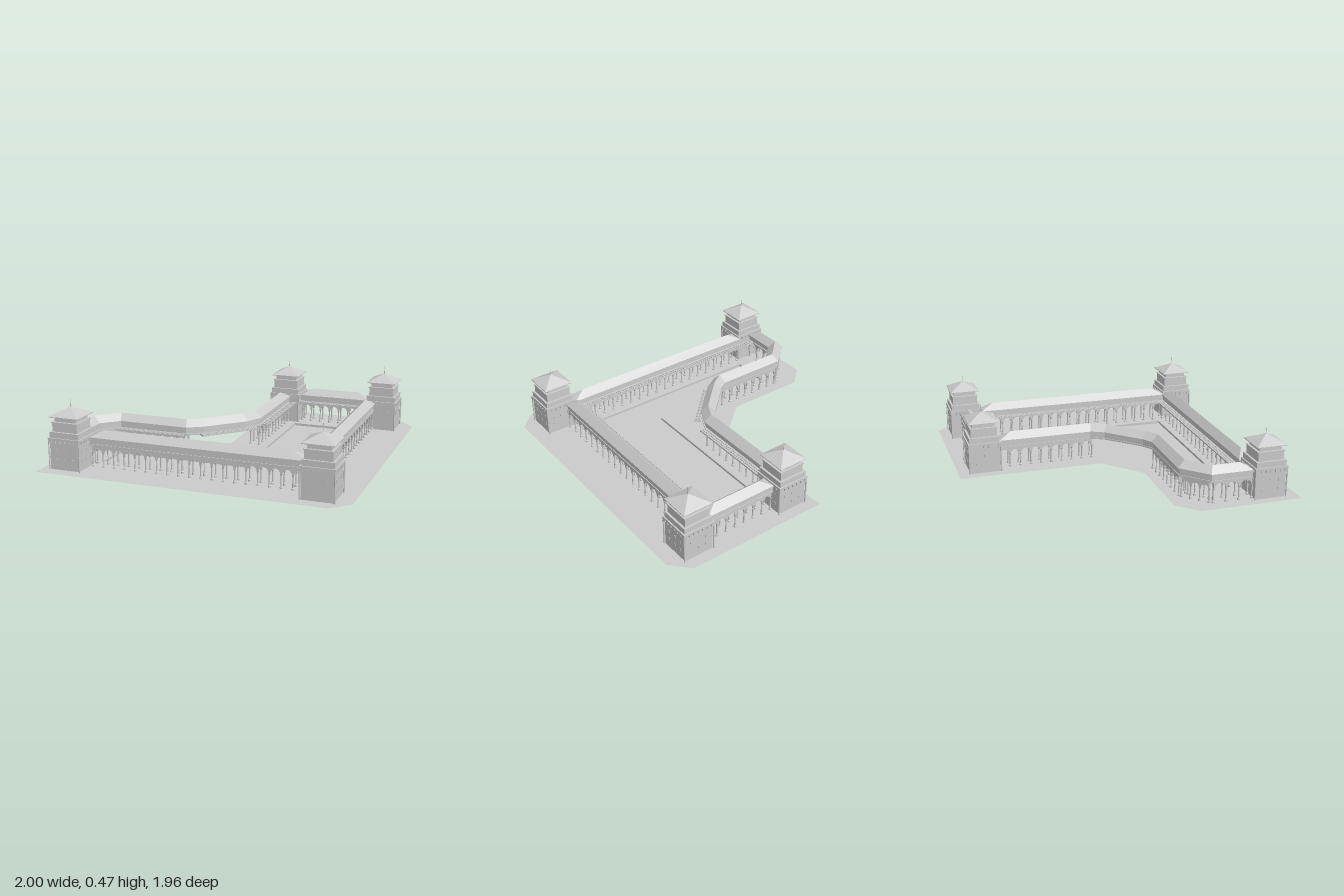
import * as THREE from 'three';
import { mergeGeometries } from 'three/addons/utils/BufferGeometryUtils.js';

const GROUND = 0.03;
const mat = new THREE.MeshStandardMaterial({ color: 0xcccccc, flatShading: true, side: THREE.DoubleSide });

const mesh = (name, geo) => {
  const m = new THREE.Mesh(geo, mat);
  m.name = name;
  return m;
};
const merged = (name, geos) => mesh(name, mergeGeometries(geos.map(g => (g.index ? g.toNonIndexed() : g))));
const box = (w, h, d, x, y, z) => new THREE.BoxGeometry(w, h, d).translate(x, y, z);
const shapeOf = pts => new THREE.Shape(pts.map(([x, z]) => new THREE.Vector2(x, -z)));

// Sweeps a closed [offset, y] profile along a flat path with mitred corners.
// Positive offset points to the courtyard; profileAt(i, last) may vary per point.
function sweep(path, profileAt) {
  const last = path.length - 1;
  const dir = i => {
    const [a, b] = [path[i], path[i + 1]];
    return new THREE.Vector2(b[0] - a[0], b[1] - a[1]).normalize();
  };
  const rings = path.map((p, i) => {
    const d0 = dir(Math.max(i - 1, 0)), d1 = dir(Math.min(i, last - 1));
    const n = new THREE.Vector2(-d0.y - d1.y, d0.x + d1.x).normalize();
    const s = 1 / (n.x * -d1.y + n.y * d1.x);
    return profileAt(i, last).map(([o, y]) => [p[0] + n.x * o * s, y, p[1] + n.y * o * s]);
  });
  const v = [], tri = (a, b, c) => v.push(...a, ...b, ...c);
  const count = rings[0].length;
  for (let i = 0; i < last; i++) {
    for (let k = 0; k < count; k++) {
      const j = (k + 1) % count;
      const [a, b, c, d] = [rings[i][k], rings[i][j], rings[i + 1][j], rings[i + 1][k]];
      // the diagonal follows the hip line at both roof ends
      if ((k === 0) !== (i === last - 1)) { tri(a, b, c); tri(a, c, d); }
      else { tri(a, b, d); tri(b, c, d); }
    }
  }
  for (let k = 1; k < count - 1; k++) {
    tri(rings[0][0], rings[0][k + 1], rings[0][k]);
    tri(rings[last][0], rings[last][k], rings[last][k + 1]);
  }
  const g = new THREE.BufferGeometry();
  g.setAttribute('position', new THREE.Float32BufferAttribute(v, 3));
  g.computeVertexNormals();
  return g;
}
const band = (path, o0, o1, y0, y1) => sweep(path, () => [[o0, y1], [o1, y1], [o1, y0], [o0, y0]]);

// Places a geometry built along local x onto the line from a to b
function along(geo, a, b) {
  return geo.rotateY(Math.atan2(a[1] - b[1], b[0] - a[0])).translate(a[0], 0, a[1]);
}
const lengthOf = (a, b) => Math.hypot(b[0] - a[0], b[1] - a[1]);

// A row of round arches on columns
function arcade(a, b, offset) {
  const len = lengthOf(a, b), n = Math.max(1, Math.round(len / 0.073));
  const pitch = len / n, r = pitch / 2 - 0.006, spring = 0.122;
  const s = new THREE.Shape();
  s.moveTo(0, spring);
  for (let i = 0; i < n; i++) {
    s.lineTo((i + 0.5) * pitch - r, spring);
    s.absarc((i + 0.5) * pitch, spring, r, Math.PI, 0, true);
  }
  s.lineTo(len, spring);
  s.lineTo(len, 0.175);
  s.lineTo(0, 0.175);
  const wall = new THREE.ExtrudeGeometry(s, { depth: 0.012, bevelEnabled: false, curveSegments: 8 });
  const geos = [wall.translate(0, 0, offset - 0.006)];
  const column = [[0.009, GROUND], [0.009, 0.04], [0.0055, 0.045], [0.0045, 0.11], [0.008, 0.122]]
    .map(([x, y]) => new THREE.Vector2(x, y));
  for (let i = 0; i <= n; i++) geos.push(new THREE.LatheGeometry(column, 8).translate(i * pitch, 0, offset));
  return geos.map(g => along(g.index ? g.toNonIndexed() : g, a, b));
}

// Flat open lattice along the courtyard eave
function lattice(a, b) {
  const len = lengthOf(a, b), n = Math.round(len / 0.018), geos = [];
  for (const o of [0.048, 0.067, 0.086]) geos.push(box(len, 0.01, 0.006, len / 2, 0.173, o));
  for (let i = 0; i <= n; i++) geos.push(box(0.006, 0.01, 0.044, (i / n) * len, 0.173, 0.067));
  return geos.map(g => along(g, a, b));
}

// path: roof ridge line; arches and lattices: stretches [from, to]
function gallery(name, path, arches, lattices) {
  const g = new THREE.Group();
  g.name = name;
  g.add(mesh('hippedRoof', sweep(path, (i, last) =>
    [[-0.048, 0.222], [0, i === 0 || i === last ? 0.222 : 0.265], [0.048, 0.222], [0.048, 0.212], [-0.048, 0.212]])));
  g.add(mesh('entablature', band(path, -0.037, 0.037, 0.17, 0.213)));
  g.add(mesh('stringCourse', band(path, -0.042, 0.046, 0.168, 0.177)));
  g.add(merged('arcades', arches.flatMap(([a, b]) => [...arcade(a, b, -0.031), ...arcade(a, b, 0.031)])));
  g.add(merged('eaveLattice', lattices.flatMap(([a, b]) => lattice(a, b))));
  return g;
}

function tower(x, z) {
  const g = new THREE.Group();
  g.name = 'cornerTower';
  g.position.set(x, 0, z);
  const tier = (name, half, y0, y1) => g.add(mesh(name, box(half * 2, y1 - y0, half * 2, 0, (y0 + y1) / 2, 0)));
  tier('towerBody', 0.1, GROUND, 0.222);
  tier('parapet', 0.109, 0.22, 0.235);
  tier('lowerTier', 0.1, 0.235, 0.272);
  tier('middleTier', 0.086, 0.272, 0.33);
  tier('tierCornice', 0.09, 0.328, 0.334);
  tier('upperTier', 0.074, 0.334, 0.368);
  tier('eaves', 0.1, 0.364, 0.369);
  // corbels and small windows on the four faces
  const corbels = [], windows = [], posts = [];
  for (let f = 0; f < 4; f++) {
    const turn = geo => geo.rotateY((f * Math.PI) / 2);
    for (let i = -3; i <= 3; i++) corbels.push(turn(box(0.014, 0.02, 0.012, i * 0.032, 0.212, 0.103)));
    for (const y of [0.09, 0.15]) {
      for (const wx of [-0.055, 0, 0.055]) windows.push(turn(box(0.012, 0.022, 0.006, wx, y, 0.1)));
    }
    posts.push(turn(new THREE.CylinderGeometry(0.005, 0.005, 0.19, 6).translate(0.105, 0.125, 0.105)));
  }
  g.add(merged('corbels', corbels), merged('windows', windows), merged('cornerPosts', posts));
  const roof = new THREE.ConeGeometry(0.1 * Math.SQRT2, 0.052, 4).rotateY(Math.PI / 4).translate(0, 0.395, 0);
  g.add(mesh('pyramidRoof', roof));
  g.add(mesh('spire', new THREE.CylinderGeometry(0.001, 0.003, 0.056, 6).translate(0, 0.442, 0)));
  return g;
}

export function createModel() {
  const model = new THREE.Group();
  model.name = 'courtyardWithTowers';

  // Ground sheet with an opening for the sunken court
  const court = d => [[0.16 + d, -0.68 + d], [0.64 - d, -0.68 + d], [0.64 - d, 0.65 - d],
    [-0.72 + d, 0.65 - d], [-0.72 + d, 0.38 + d], [0.16 + d, 0.38 + d]];
  const ground = shapeOf([[-0.08, -0.98], [0.89, -0.98], [1, -0.86], [1, 0.87], [0.89, 0.98], [-1, 0.98],
    [-1, 0.31], [-0.87, 0.19], [-0.33, 0.19], [-0.08, -0.03]]);
  ground.holes.push(shapeOf(court(0.006)));
  model.add(mesh('ground', new THREE.ShapeGeometry(ground).rotateX(-Math.PI / 2).translate(0, GROUND, 0)));

  // Sunken court: stepped rim and floor
  const slab = (shape, depth, y) =>
    new THREE.ExtrudeGeometry(shape, { depth, bevelEnabled: false }).rotateX(-Math.PI / 2).translate(0, y, 0);
  const rim = shapeOf(court(0));
  rim.holes.push(shapeOf(court(0.016)));
  model.add(mesh('courtRim', slab(rim, 0.016, 0.0135)));
  model.add(mesh('courtFloor', slab(shapeOf(court(0.012)), 0.0135, 0)));

  // Galleries run clockwise, so the courtyard is always on the same hand
  model.add(gallery('frontGallery', [[0.69, 0.72], [0.6, 0.72], [-0.65, 0.72], [-0.735, 0.72]],
    [[[0.68, 0.72], [-0.72, 0.72]]], [[[0.67, 0.72], [-0.83, 0.72]]]));
  model.add(gallery('rightGallery', [[0.71, -0.695], [0.71, -0.61], [0.71, 0.6], [0.71, 0.685]],
    [[[0.71, -0.69], [0.71, 0.68]]], [[[0.71, -0.75], [0.71, 0.66]]]));
  model.add(gallery('backGallery', [[0.19, -0.803], [0.27, -0.803], [0.61, -0.803], [0.69, -0.803]],
    [[[0.2, -0.803], [0.68, -0.803]]], [[[0.15, -0.803], [0.67, -0.803]]]));
  const bend = [[-0.875, 0.685], [-0.875, 0.61], [-0.875, 0.43], [-0.74, 0.302], [-0.265, 0.302],
    [-0.18, 0.25], [0.03, 0.04], [0.08, -0.06], [0.08, -0.61], [0.08, -0.695]];
  model.add(gallery('leftGallery', bend,
    [[bend[0], bend[2]], [bend[2], bend[3]], [bend[3], bend[4]], [bend[7], bend[9]]],
    [[bend[3], bend[4]], [[-0.2, 0.27], [0.07, 0]], [bend[7], bend[9]]]));

  // Corner towers
  for (const [x, z] of [[0.085, -0.803], [0.795, -0.803], [0.795, 0.795], [-0.84, 0.795]]) model.add(tower(x, z));
  return model;
}
